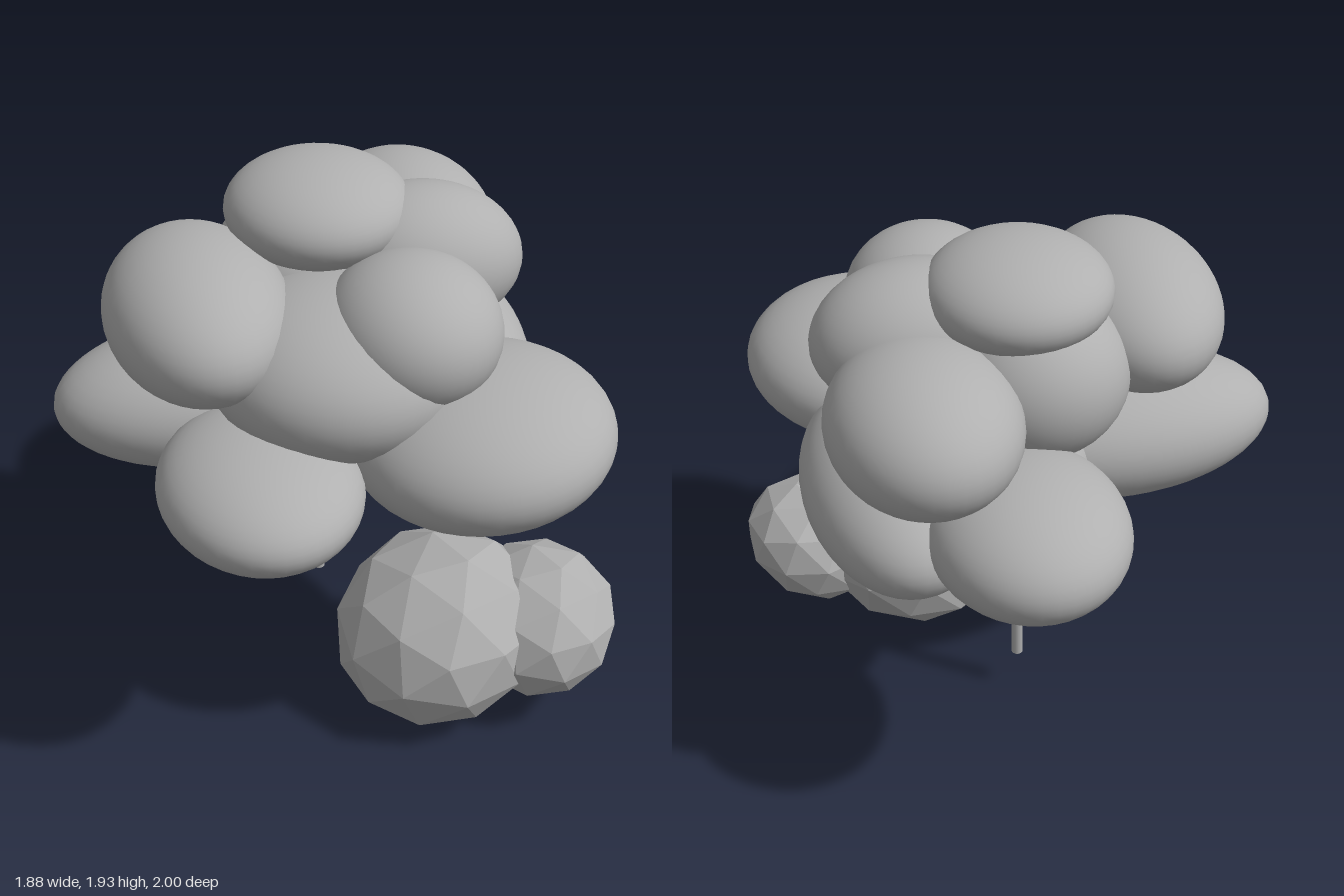
import * as THREE from 'three';

export function createModel() {
  const model = new THREE.Group();
  const grey = new THREE.MeshStandardMaterial({ color: 0xb0b0b0 });
  grey.name = 'grey';

  const add = (parent, name, geometry) => {
    const mesh = new THREE.Mesh(geometry, grey);
    mesh.name = name;
    parent.add(mesh);
    return mesh;
  };

  // Round limb between two points
  const limb = (parent, name, from, to, r0, r1) => {
    const a = new THREE.Vector3(...from);
    const b = new THREE.Vector3(...to);
    const mesh = add(parent, name, new THREE.CylinderGeometry(r1, r0, a.distanceTo(b), 12));
    mesh.position.copy(a).lerp(b, 0.5);
    mesh.quaternion.setFromUnitVectors(new THREE.Vector3(0, 1, 0), b.sub(a).normalize());
  };

  // Trunk and its two branches
  const wood = new THREE.Group();
  wood.name = 'wood';
  model.add(wood);
  limb(wood, 'trunk', [0.02, 0.17, -0.09], [0.02, 1.0, -0.09], 0.022, 0.02);
  limb(wood, 'frontBranch', [0.015, 0.61, -0.08], [-0.055, 0.99, 0.36], 0.012, 0.012);
  limb(wood, 'backBranch', [0.03, 0.68, -0.08], [0.12, 0.95, -0.3], 0.009, 0.009);

  // Smooth leaf clumps: name, centre, radii, tilt about z
  const canopy = new THREE.Group();
  canopy.name = 'canopy';
  model.add(canopy);
  const clumps = [
    ['topClump', [0.01, 1.76, -0.065], [0.32, 0.172, 0.326], 0],
    ['upperRightClump', [-0.445, 1.525, 0.135], [0.315, 0.245, 0.455], 0],
    ['upperFrontClump', [0.225, 1.51, 0.375], [0.3, 0.25, 0.325], 0],
    ['upperLeftClump', [0.36, 1.585, 0.03], [0.345, 0.248, 0.28], -0.1],
    ['upperBackLeftClump', [0.4, 1.485, -0.365], [0.325, 0.25, 0.405], 0],
    ['upperBackClump', [-0.03, 1.48, -0.15], [0.32, 0.29, 0.315], 0],
    ['middleFrontClump', [0.0, 1.37, 0.3], [0.45, 0.28, 0.44], 0],
    ['lowerFrontLeftClump', [0.425, 1.18, 0.55], [0.45, 0.245, 0.45], 0.08],
    ['lowerFrontRightClump', [-0.33, 1.108, 0.575], [0.34, 0.188, 0.415], 0],
    ['lowerRightClump', [-0.37, 1.12, 0.0], [0.57, 0.245, 0.32], 0],
    ['lowerLeftClump', [0.47, 1.103, -0.15], [0.32, 0.25, 0.55], 0],
    ['lowerBackClump', [0.115, 1.175, -0.6], [0.34, 0.22, 0.4], 0],
    ['lowerMiddleClump', [0.12, 1.11, -0.13], [0.35, 0.27, 0.35], 0],
  ];
  for (const [name, centre, radii, tilt] of clumps) {
    const mesh = add(canopy, name, new THREE.SphereGeometry(1, 40, 24));
    mesh.position.set(...centre);
    mesh.scale.set(...radii);
    mesh.rotation.z = tilt;
  }

  // Faceted bush lobes: unshared triangles keep each face flat
  const bush = new THREE.Group();
  bush.name = 'bush';
  model.add(bush);
  const lobes = [
    ['largeLobe', [0.325, 0.315, 0.495], [0.385, 0.3, 0.39]],
    ['smallLobe', [0.675, 0.347, 0.575], [0.285, 0.235, 0.31]],
  ];
  for (const [name, centre, radii] of lobes) {
    const geometry = new THREE.IcosahedronGeometry(1, 1);
    geometry.scale(...radii);
    geometry.rotateZ(0.4);
    geometry.rotateX(0.15);
    geometry.translate(...centre);
    geometry.computeVertexNormals();
    add(bush, name, geometry);
  }

  return model;
}
